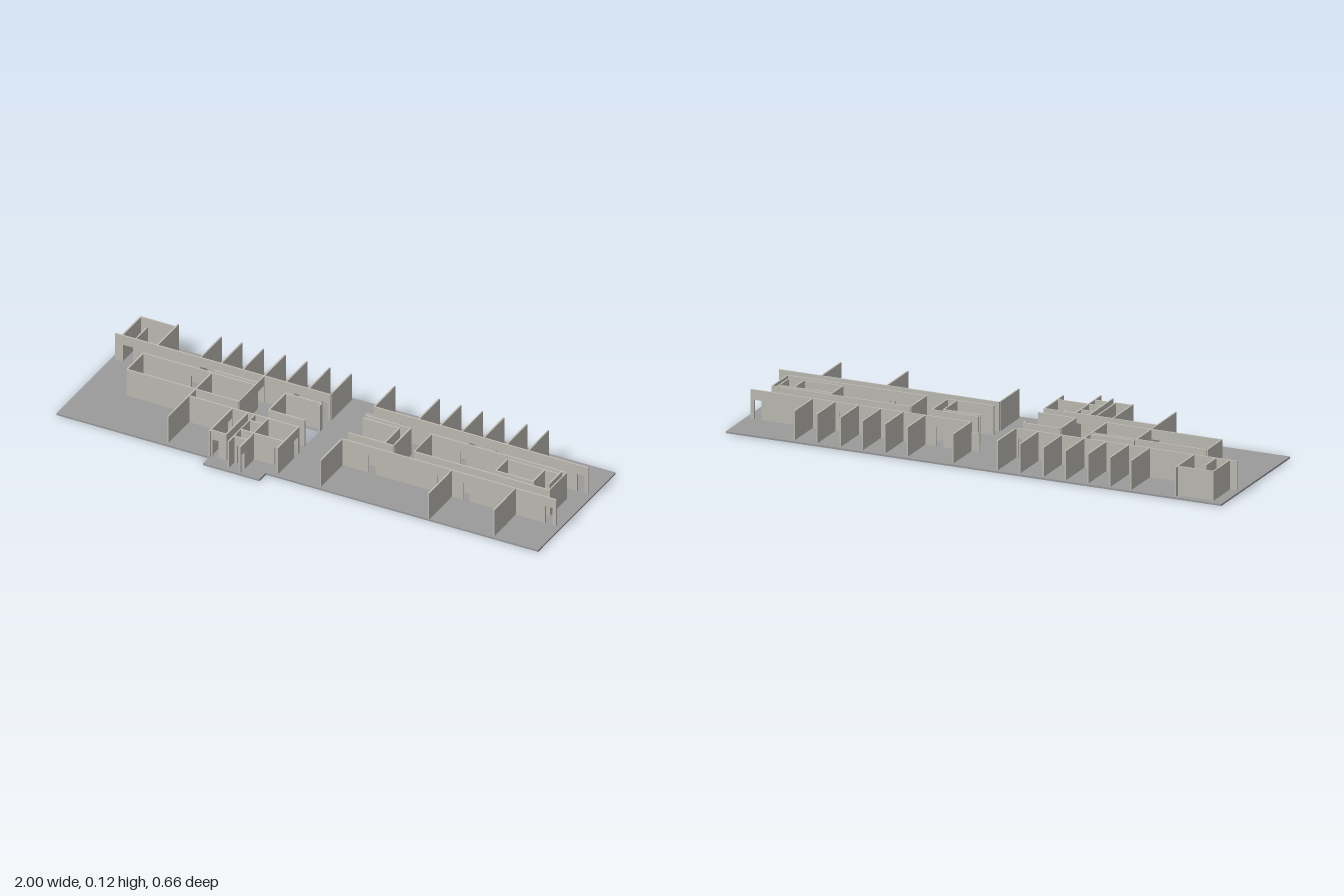
import * as THREE from 'three';

const FLOOR = 0.007, TOP = 0.12, DOOR_TOP = 0.081, THICK = 0.006;

export function createModel() {
  const model = new THREE.Group();
  const wallPaint = new THREE.MeshStandardMaterial({ color: 0xbfbdb5 });
  wallPaint.name = 'warm grey walls';
  const concrete = new THREE.MeshStandardMaterial({ color: 0x9b9b9b });
  concrete.name = 'grey floor';

  // A wall from a to b along x (at z = at), with doorways [start, end] cut from its foot
  function wallGeometry(a, b, doors) {
    const s = new THREE.Shape();
    s.moveTo(a, FLOOR);
    for (const [p, q] of doors) {
      s.lineTo(p, FLOOR);
      s.lineTo(p, DOOR_TOP);
      s.lineTo(q, DOOR_TOP);
      s.lineTo(q, FLOOR);
    }
    s.lineTo(b, FLOOR);
    s.lineTo(b, TOP);
    s.lineTo(a, TOP);
    s.closePath();
    return new THREE.ExtrudeGeometry(s, { depth: THICK, bevelEnabled: false }).translate(0, 0, -THICK / 2);
  }
  function add(name, geometry) {
    const mesh = new THREE.Mesh(geometry, wallPaint);
    mesh.name = name;
    model.add(mesh);
  }
  const wallX = (name, a, b, z, doors = []) =>
    add(name, wallGeometry(a, b, doors).translate(0, 0, z));
  // Walls along z: turn so that the profile runs toward +z
  const wallZ = (name, x, a, b, doors = []) =>
    add(name, wallGeometry(a, b, doors).rotateY(-Math.PI / 2).translate(x, 0, 0));

  // Floor slab with entrance step and light well
  const outline = [[-1, -0.325], [1, -0.332], [1, 0.272], [-0.13, 0.276], [-0.13, 0.326],
    [-0.365, 0.326], [-0.365, 0.276], [-1, 0.277]];
  const slab = new THREE.Shape(outline.map(([x, z]) => new THREE.Vector2(x, -z)));
  const well = [[-0.205, -0.065], [-0.09, -0.065], [-0.09, 0.024], [-0.205, 0.024]];
  slab.holes.push(new THREE.Path(well.map(([x, z]) => new THREE.Vector2(x, -z))));
  const floor = new THREE.Mesh(
    new THREE.ExtrudeGeometry(slab, { depth: FLOOR, bevelEnabled: false }).rotateX(-Math.PI / 2), concrete);
  floor.name = 'floorSlab';
  model.add(floor);

  // Back corridor walls and the fins dividing the rooms behind them
  wallX('backCorridorWallLeft', -0.985, -0.09, -0.153,
    [[-0.95, -0.91], [-0.63, -0.6], [-0.24, -0.215], [-0.125, -0.1]]);
  wallX('backCorridorWallRight', 0.09, 0.98, -0.157,
    [[0.2, 0.23], [0.485, 0.51], [0.595, 0.62], [0.935, 0.965]]);
  for (const x of [-0.63, -0.545, -0.455, -0.365, -0.275, -0.18, -0.09,
    0.09, 0.275, 0.365, 0.455, 0.545, 0.64, 0.73]) wallZ('backRoomDivider', x, -0.315, -0.155);

  // Corner room at the back
  wallZ('cornerRoomOuterWall', -0.955, -0.297, -0.153);
  wallX('cornerRoomBackWall', -0.955, -0.81, -0.297);
  wallZ('cornerRoomInnerWall', -0.81, -0.315, -0.153);
  wallZ('cornerRoomPartition', -0.9, -0.245, -0.153);

  // Left core block
  wallZ('leftCoreEnd', -0.83, -0.082, 0.045);
  wallX('leftCoreBack', -0.83, -0.365, -0.082, [[-0.63, -0.6]]);
  wallX('leftCoreFront', -0.83, -0.365, 0.045, [[-0.58, -0.55]]);
  wallZ('leftCoreDivider', -0.545, -0.082, 0.045);
  wallZ('leftCoreInnerEnd', -0.365, -0.155, 0.045, [[-0.145, -0.095]]);
  wallX('leftCoreLedge', -0.545, -0.365, -0.1);

  // Walls round the light well
  wallZ('wellLeftWall', -0.24, -0.085, 0.045);
  wallX('wellBackWall', -0.24, -0.09, -0.085);
  wallX('wellFrontWall', -0.24, -0.09, 0.045);
  wallZ('wellRightWall', -0.09, -0.085, -0.065);

  // Front corridor walls and front room dividers
  wallX('frontCorridorWallLeft', -0.545, -0.09, 0.097, [[-0.24, -0.215], [-0.12, -0.095]]);
  wallX('frontCorridorWallRight', 0.09, 0.98, 0.092,
    [[0.2, 0.23], [0.485, 0.51], [0.595, 0.62], [0.935, 0.965]]);
  for (const x of [-0.545, -0.365, -0.09, 0.09, 0.545, 0.81])
    wallZ('frontRoomDivider', x, 0.045 + (x > -0.5 ? 0.05 : 0), x === -0.365 || x === 0.545 ? 0.275 : 0.262,
      x === -0.365 || x === -0.09 ? [[0.105, 0.135]] : []);

  // Small rooms beside the entrance
  wallZ('entrancePartition', -0.3, 0.097, 0.265);
  wallZ('entrancePartition', -0.27, 0.097, 0.305, [[0.105, 0.135], [0.225, 0.25]]);
  wallZ('entrancePartition', -0.215, 0.097, 0.318, [[0.15, 0.18], [0.29, 0.313]]);
  wallX('entranceCrossWall', -0.365, -0.3, 0.265, [[-0.355, -0.33]]);
  wallX('entranceCrossWall', -0.27, -0.215, 0.14);
  wallX('entranceCrossWall', -0.27, -0.09, 0.21, [[-0.255, -0.23], [-0.13, -0.1]]);
  wallX('entranceCrossWall', -0.27, -0.215, 0.262, [[-0.255, -0.23]]);

  // Right core blocks, each with an inner enclosure
  for (const [a, b] of [[0.09, 0.278], [0.364, 0.925]]) {
    wallX('rightCoreBack', a, b, -0.09, a > 0.3 ? [[0.485, 0.51]] : []);
    wallX('rightCoreFront', a, b, 0.045, a > 0.3 ? [[0.485, 0.51]] : []);
    wallZ('rightCoreEnd', b, -0.09, 0.045);
    if (a > 0.3) wallZ('rightCoreEnd', a, -0.09, 0.045);
  }
  wallZ('stairWall', 0.24, -0.07, 0.045);
  wallX('stairWall', 0.09, 0.24, -0.07);
  wallX('innerRoomBack', 0.69, 0.905, -0.07);
  wallX('innerRoomFront', 0.69, 0.845, 0.02);
  wallZ('innerRoomEnd', 0.69, -0.07, 0.02);
  wallZ('innerRoomEnd', 0.845, -0.07, 0.02);
  wallZ('innerRoomScreen', 0.905, -0.09, 0.01);

  // Open door leaf by the central passage
  add('doorLeaf', new THREE.BoxGeometry(0.035, DOOR_TOP - FLOOR, 0.004)
    .translate(0.0725, (DOOR_TOP + FLOOR) / 2, -0.157));
  return model;
}
